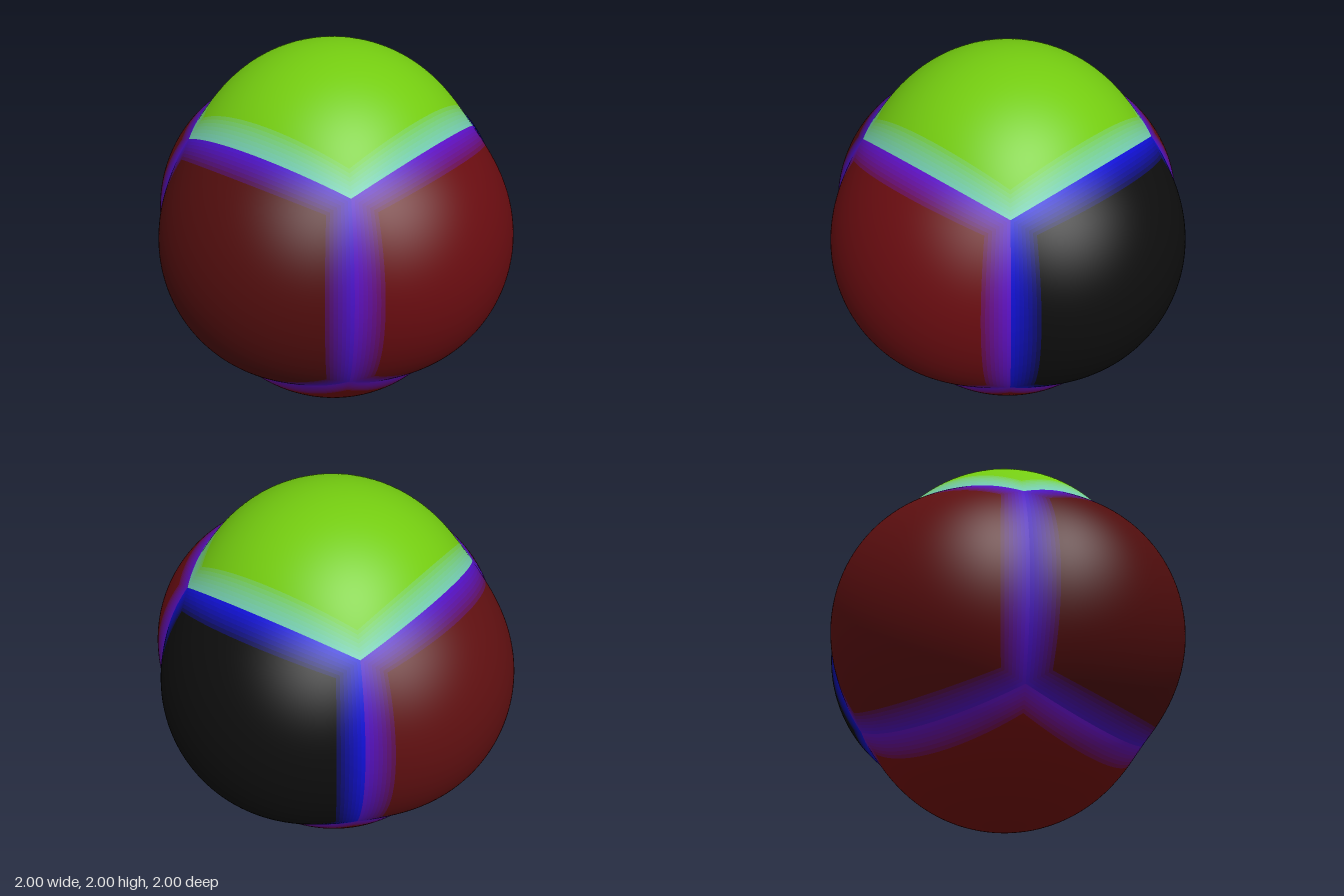
import * as THREE from 'three';

const N = 72;            // grid cells along a face
const BANDS = 7;         // colour steps from seam to pillow
const SEAM_R = 0.909;    // radius along the seams
const BULGE = 0.091;     // extra radius at the middle of a pillow

// name, outward axis, two tangent axes (a x b = outward), pillow colour, seam colour
const FACES = [
  ['front', [0, 0, 1], [1, 0, 0], [0, 1, 0], 0x680c10, 0x5a10c4],
  ['back', [0, 0, -1], [-1, 0, 0], [0, 1, 0], 0x5e0f10, 0x5010c4],
  ['left', [1, 0, 0], [0, 0, -1], [0, 1, 0], 0x0d0d0d, 0x0f0fd2],
  ['right', [-1, 0, 0], [0, 0, 1], [0, 1, 0], 0x500d0d, 0x4810c4],
  ['top', [0, 1, 0], [1, 0, 0], [0, 0, -1], 0x74cc10, 0x74ccb4],
  ['bottom', [0, -1, 0], [1, 0, 0], [0, 0, 1], 0x740c0a, 0x6010c0],
];

// One sixth of the ball: an equal-angle cube-sphere patch swelling from its seams
function pillow([name, n, a, b, colour, seamColour]) {
  const group = new THREE.Group();
  group.name = name + 'Pillow';
  const [N0, A, B] = [n, a, b].map(v => new THREE.Vector3(...v));
  const points = [];
  for (let j = 0; j <= N; j++) {
    for (let i = 0; i <= N; i++) {
      const u = 2 * i / N - 1, v = 2 * j / N - 1;
      const r = SEAM_R + BULGE * (1 - u * u) * (1 - v * v);
      const p = N0.clone()
        .addScaledVector(A, Math.tan(u * Math.PI / 4))
        .addScaledVector(B, Math.tan(v * Math.PI / 4))
        .setLength(r);
      points.push(p.x, p.y, p.z);
    }
  }

  // Sort the cells into square rings by distance from the seam
  const rings = Array.from({ length: BANDS + 1 }, () => []);
  for (let j = 0; j < N; j++) {
    for (let i = 0; i < N; i++) {
      const ring = Math.min(i, j, N - 1 - i, N - 1 - j, BANDS);
      const k = j * (N + 1) + i;
      rings[ring].push(k, k + 1, k + N + 2, k, k + N + 2, k + N + 1);
    }
  }

  // Normals come from the whole patch so the rings shade as one surface
  const whole = new THREE.BufferGeometry();
  whole.setAttribute('position', new THREE.Float32BufferAttribute(points, 3));
  whole.setIndex(rings.flat());
  whole.computeVertexNormals();

  rings.forEach((index, ring) => {
    const geometry = new THREE.BufferGeometry();
    geometry.setAttribute('position', whole.attributes.position);
    geometry.setAttribute('normal', whole.attributes.normal);
    geometry.setIndex(index);
    const material = new THREE.MeshStandardMaterial();
    material.color.set(seamColour).lerp(new THREE.Color(colour), ring / BANDS);
    const mesh = new THREE.Mesh(geometry, material);
    mesh.name = name + (ring === BANDS ? 'Panel' : 'SeamBand' + (ring + 1));
    group.add(mesh);
  });
  return group;
}

export function createModel() {
  const model = new THREE.Group();
  model.name = 'pillowedBall';
  for (const face of FACES) {
    const part = pillow(face);
    part.position.y = 1;
    model.add(part);
  }
  return model;
}
